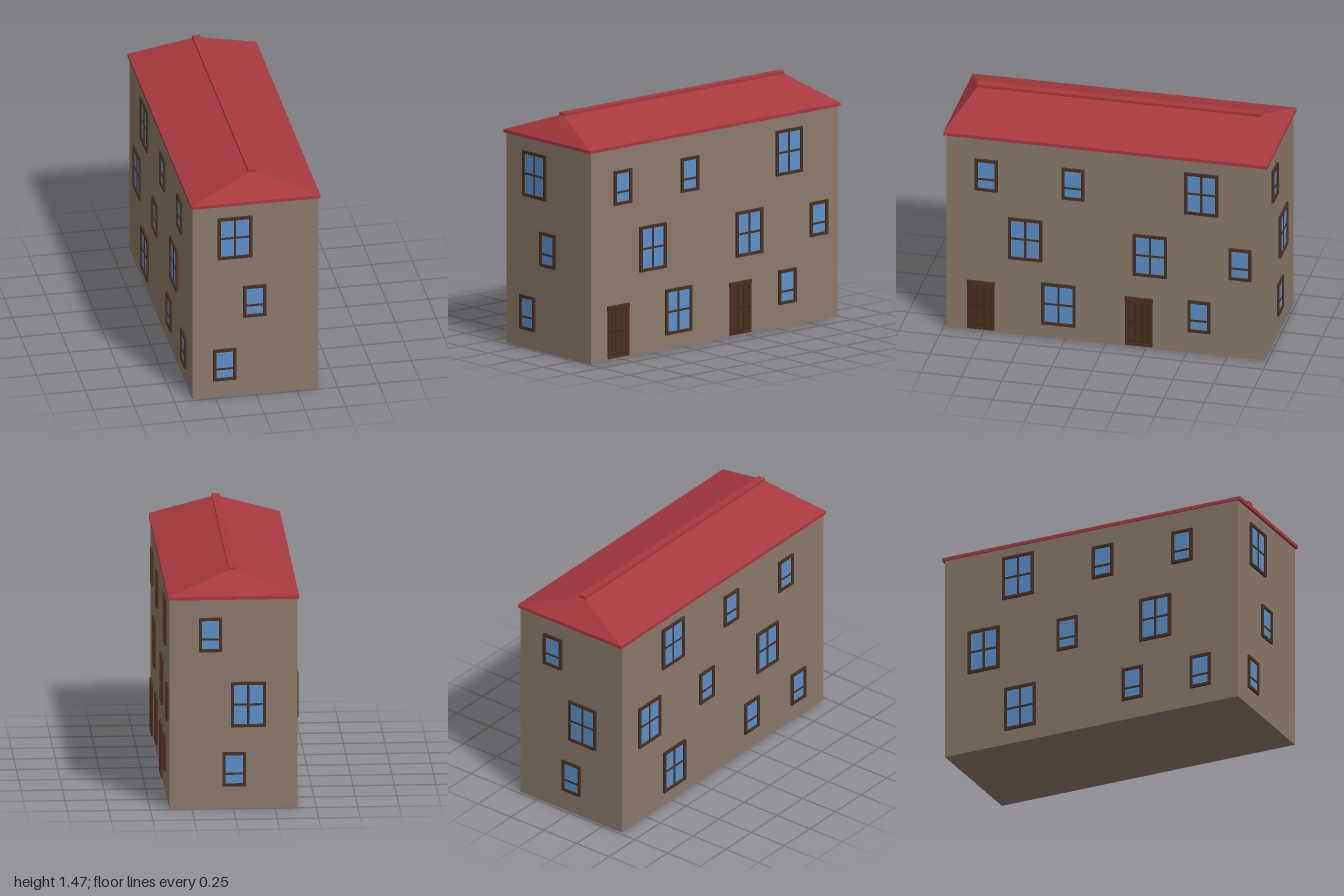
import * as THREE from 'three';
import { ConvexGeometry } from 'three/addons/geometries/ConvexGeometry.js';

const mat = (color) => new THREE.MeshStandardMaterial({ color, flatShading: true });
const wallMat = mat(0x8a7a6a), roofMat = mat(0xa83a3f), woodMat = mat(0x4a3020);
const darkMat = mat(0x3a2415), glassMat = mat(0x5b91cb);

const HALF_W = 0.387, HALF_L = 0.983, WALL_H = 1.3;

function box(parent, name, material, w, h, d, x, y, z) {
  const m = new THREE.Mesh(new THREE.BoxGeometry(w, h, d), material);
  m.position.set(x, y, z);
  m.name = name;
  parent.add(m);
  return m;
}

// Rectangular frame with an opening, back on z = 0
function frame(parent, name, w, h, border, depth) {
  const rect = (Type, a, b) => new Type([[-a, -b], [a, -b], [a, b], [-a, b]].map((p) => new THREE.Vector2(...p)));
  const shape = rect(THREE.Shape, w / 2, h / 2);
  shape.holes.push(rect(THREE.Path, w / 2 - border, h / 2 - border));
  const m = new THREE.Mesh(new THREE.ExtrudeGeometry(shape, { depth, bevelEnabled: false }), woodMat);
  m.name = name;
  parent.add(m);
}

// Windows: large with a cross of bars, small with one low bar
function makeWindow(large) {
  const g = new THREE.Group();
  const w = large ? 0.21 : 0.14, h = large ? 0.28 : 0.212;
  g.name = large ? 'largeWindow' : 'smallWindow';
  frame(g, 'windowFrame', w, h, 0.018, 0.013);
  box(g, 'glass', glassMat, w - 0.03, h - 0.03, 0.004, 0, 0, 0.002);
  box(g, 'crossBar', woodMat, w - 0.03, 0.012, 0.008, 0, large ? 0 : -0.028, 0.004);
  if (large) box(g, 'uprightBar', woodMat, 0.013, h - 0.03, 0.008, 0, 0, 0.004);
  return g;
}

// Plank door with frame and lintel
function makeDoor() {
  const g = new THREE.Group();
  g.name = 'door';
  frame(g, 'doorFrame', 0.166, 0.32, 0.018, 0.011);
  box(g, 'lintel', woodMat, 0.172, 0.026, 0.013, 0, 0.151, 0.0065);
  box(g, 'doorBack', darkMat, 0.14, 0.29, 0.004, 0, 0, 0.002);
  for (const x of [-0.043, 0, 0.043]) {
    for (const y of [-0.07, 0.068]) box(g, 'doorPlank', woodMat, 0.037, 0.13, 0.007, x, y, 0.0035);
  }
  return g;
}

// Openings on each wall: [kind, world coordinate along the wall, centre height]
const openings = {
  front: [['L', -0.127, 1.077], ['S', -0.005, 0.635], ['S', -0.19, 0.219]],
  back: [['S', 0.139, 1.08], ['L', -0.089, 0.645], ['S', -0.004, 0.243]],
  left: [
    ['S', 0.735, 1.058], ['S', 0.2, 1.058], ['L', -0.592, 1.08],
    ['L', 0.495, 0.65], ['L', -0.275, 0.627], ['S', -0.83, 0.632],
    ['L', 0.29, 0.232], ['S', -0.578, 0.25], ['D', 0.77, 0.173], ['D', -0.205, 0.173],
  ],
  right: [
    ['L', -0.49, 1.1], ['S', 0.077, 1.08], ['S', 0.61, 1.07],
    ['L', -0.72, 0.656], ['S', -0.16, 0.65], ['L', 0.43, 0.634],
    ['L', -0.477, 0.23], ['S', 0.277, 0.23], ['S', 0.733, 0.22],
  ],
};

const placement = {
  front: { turn: 0, at: (u, y) => [u, y, HALF_L] },
  back: { turn: Math.PI, at: (u, y) => [u, y, -HALF_L] },
  left: { turn: Math.PI / 2, at: (u, y) => [HALF_W, y, u] },
  right: { turn: -Math.PI / 2, at: (u, y) => [-HALF_W, y, u] },
};

export function createModel() {
  const house = new THREE.Group();
  house.name = 'house';

  box(house, 'walls', wallMat, HALF_W * 2, WALL_H, HALF_L * 2, 0, WALL_H / 2, 0);

  // Hipped roof with a thin upright eave
  const points = [];
  for (const sz of [-1, 1]) {
    for (const sx of [-1, 1]) {
      for (const y of [WALL_H, 1.32]) points.push(new THREE.Vector3(sx * 0.395, y, sz));
    }
    points.push(new THREE.Vector3(0, 1.461, sz * 0.87));
  }
  const roof = new THREE.Mesh(new ConvexGeometry(points), roofMat);
  roof.name = 'roof';
  house.add(roof);
  box(house, 'ridgeCap', roofMat, 0.047, 0.018, 1.755, 0, 1.461, 0);

  // Windows and doors
  for (const [side, list] of Object.entries(openings)) {
    const { turn, at } = placement[side];
    for (const [kind, u, y] of list) {
      const part = kind === 'D' ? makeDoor() : makeWindow(kind === 'L');
      part.position.set(...at(u, y));
      part.rotation.y = turn;
      house.add(part);
    }
  }
  house.position.x = -0.002;

  const model = new THREE.Group();
  model.name = 'model';
  model.add(house);
  return model;
}
